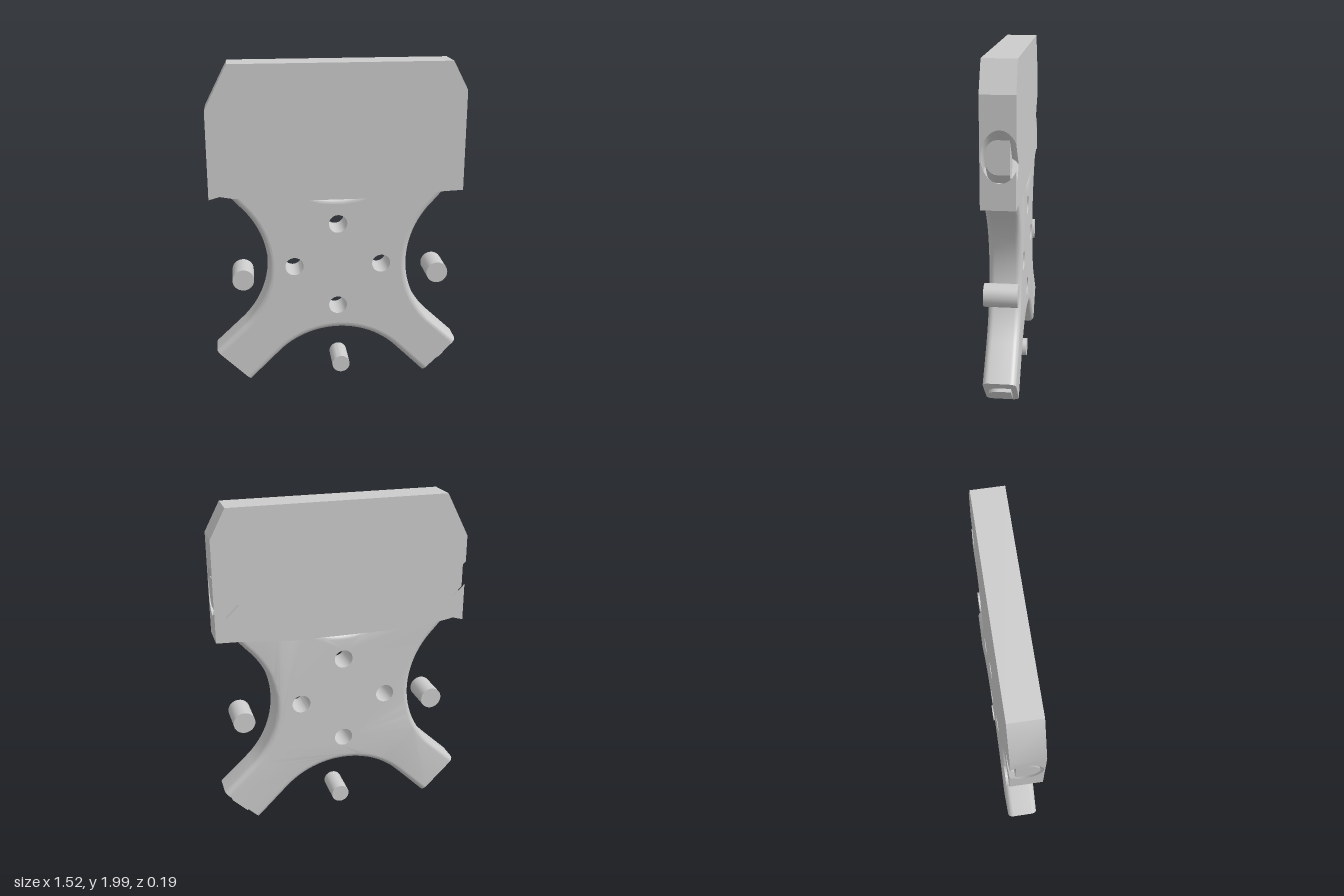
import * as THREE from 'three';
import { mergeGeometries, toCreasedNormals } from 'three/addons/utils/BufferGeometryUtils.js';

const H = 0.095;           // half thickness
const R2 = Math.SQRT1_2;
const V3 = (x, y, z) => new THREE.Vector3(x, y, z);
const V2 = (x, y) => new THREE.Vector2(x, y);
const material = new THREE.MeshStandardMaterial({ color: 0xcccccc, side: THREE.DoubleSide });

function mesh(name, parts, crease = 0.6) {
  const flat = parts.map((g) => {
    const n = g.index ? g.toNonIndexed() : g;
    n.deleteAttribute('uv');
    n.deleteAttribute('normal');
    return n;
  });
  const geo = mergeGeometries(flat);
  geo.computeVertexNormals();
  const m = new THREE.Mesh(toCreasedNormals(geo, crease), material);
  m.name = name;
  return m;
}

// Skin over rows of points
function skin(rows, closed) {
  const n = rows[0].length, index = [];
  for (let r = 0; r < rows.length - 1; r++) {
    for (let i = 0; i < (closed ? n : n - 1); i++) {
      const a = r * n + i, b = r * n + (i + 1) % n;
      index.push(a, b, a + n, b, b + n, a + n);
    }
  }
  const g = new THREE.BufferGeometry().setFromPoints(rows.flat());
  g.setIndex(index);
  return g;
}

// Flat face at height z
function face(points, z, holes = []) {
  const s = new THREE.Shape(points);
  for (const [x, y, r] of holes) s.holes.push(new THREE.Path().absarc(x, y, r, 0, Math.PI * 2, true));
  return new THREE.ShapeGeometry(s, 16).translate(0, 0, z);
}

// Prism along a diagonal axis; profile entries are [across, z]
function frame(x, y, dx, dy) {
  return (a, z, t) => V3(x + R2 * (dx * t - dx * dy * a), y + R2 * (dy * t + a), z);
}
function prism(at, profile, tStart, tEnd, centre, closed) {
  return skin([
    profile.map(([a, z]) => at(a, z, tStart(a))),
    profile.map(([a, z]) => at(a, z, tEnd(a))),
    profile.map(() => at(0, centre, tEnd(0))),
  ], closed);
}

// D-shaped shaft profile
const shaft = [[0.065, -0.062], [-0.065, -0.062]];
for (let i = 0; i <= 16; i++) {
  const t = Math.PI * (1 - i / 16);
  shaft.push([0.065 * Math.cos(t), 0.005 + 0.065 * Math.sin(t)]);
}

// Round pocket profile, open through the back face
const PR = 0.099, PZ = -0.01, PD = 0.15, PY = 1.51;
const a0 = Math.asin((-H - PZ) / PR), chord = PR * Math.cos(a0);
const pocket = [];
for (let i = 0; i <= 32; i++) {
  const t = a0 + (Math.PI - 2 * a0) * i / 32;
  pocket.push([PR * Math.cos(t), PZ + PR * Math.sin(t)]);
}

// X-shaped body with rounded long edges and flat arm ends
function makeBody() {
  const b = 0.035, h = H - 0.0005, outline = [];
  const side = (cx, cy, r, deg, p0, p1) => {
    const n = 24;
    for (let i = 0; i <= n; i++) {
      const t = THREE.MathUtils.degToRad(deg - 90 * i / n);
      const nor = V2(-Math.cos(t), -Math.sin(t));
      if (i === 0) outline.push([V2(...p0), nor]);
      outline.push([V2(cx - r * nor.x, cy - r * nor.y), nor]);
      if (i === n) outline.push([V2(...p1), nor]);
    }
  };
  side(0.968, 0.77, 0.543, 225, [0.76, 0.22], [0.66, 1.24]);
  side(0, 1.714, 0.519, 315, [0.46, 1.44], [-0.46, 1.44]);
  side(-0.968, 0.77, 0.543, 45, [-0.66, 1.24], [-0.76, 0.22]);
  side(0, -0.174, 0.519, 135, [-0.55, 0.01], [0.55, 0.01]);

  const inset = (d) => outline.map(([p, n]) => p.clone().addScaledVector(n, -d));
  const rows = [];
  for (const s of [1, -1]) {
    for (let k = 0; k <= 6; k++) {
      const t = (s > 0 ? 1 - k / 6 : k / 6) * Math.PI / 2;
      const z = s * (h - b + b * Math.sin(t));
      rows.push(inset(b * (1 - Math.cos(t))).map((p) => V3(p.x, p.y, z)));
    }
  }
  const holes = [[0, 1.035, 0.056], [0, 0.503, 0.056], [0.267, 0.77, 0.056], [-0.267, 0.77, 0.056]];
  const parts = [skin(rows, true), face(inset(b), h, holes), face(inset(b), -h, holes)];
  for (const [x, y, r] of holes) {
    parts.push(new THREE.CylinderGeometry(r, r, 2 * h, 32, 1, true).rotateX(Math.PI / 2).translate(x, y, 0));
  }
  return mesh('crossBody', parts);
}

// Upper plate with clipped corners and a diagonal pocket in each side
function makePlate() {
  const top = [[-0.765, 1.74], [-0.63, 2], [0.67, 2], [0.76, 1.83]];
  const bottom = [[0.76, 1.225], [0.64, 1.22], [0.3, 1.19], [-0.3, 1.19],
    [-0.63, 1.215], [-0.7, 1.228], [-0.765, 1.21]];
  const notch = (x, s) => {
    const at = frame(x, PY, s, 1);
    return [at(chord, 0, chord), at(chord, 0, -PD), at(-chord, 0, -PD), at(-chord, 0, -chord)]
      .map((p) => V2(p.x, p.y));
  };
  const pts = (list) => list.map((p) => V2(...p));
  const parts = [
    face(pts([...top, ...bottom]), H),
    face([...pts(top), ...notch(0.76, 1), ...pts(bottom), ...notch(-0.765, -1).reverse()], -H),
  ];
  for (const edge of [top, bottom]) {
    parts.push(skin([H, -H].map((z) => edge.map(([x, y]) => V3(x, y, z)))));
  }
  for (const [x, s, y0, y1] of [[0.76, 1, 1.225, 1.83], [-0.765, -1, 1.21, 1.74]]) {
    const rim = pocket.map(([a, z]) => V2(z, PY + a * Math.SQRT2));
    const wall = face([V2(-H, y0), V2(H, y0), V2(H, y1), V2(-H, y1), ...rim], 0);
    const p = wall.attributes.position;
    for (let i = 0; i < p.count; i++) p.setXYZ(i, x, p.getY(i), p.getX(i));
    parts.push(wall, prism(frame(x, PY, s, 1), pocket, (a) => a, () => -PD, -H, false));
  }
  return mesh('upperPlate', parts);
}

export function createModel() {
  const model = new THREE.Group();
  model.add(makeBody(), makePlate());

  // Shafts inside the upper pockets, trimmed just inside the plate sides
  for (const [name, x, s] of [['leftShaft', 0.76, 1], ['rightShaft', -0.765, -1]]) {
    model.add(mesh(name, [prism(frame(x, PY, s, 1), shaft, () => -PD, (a) => a - 0.004, 0, true)]));
  }
  // Shaft stub on the lower left arm
  model.add(mesh('lowerShaft', [prism(frame(0.655, 0.115, 1, -1), shaft, () => -0.02, () => 0.02, 0, true)]));

  // Separate round pins
  for (const [name, x, y, r] of [['rightPin', -0.58, 0.693, 0.066], ['leftPin', 0.62, 0.693, 0.066], ['bottomPin', 0.02, 0.09, 0.055]]) {
    model.add(mesh(name, [new THREE.CylinderGeometry(r, r, 2 * H, 32).rotateX(Math.PI / 2).translate(x, y, 0)]));
  }
  return model;
}
